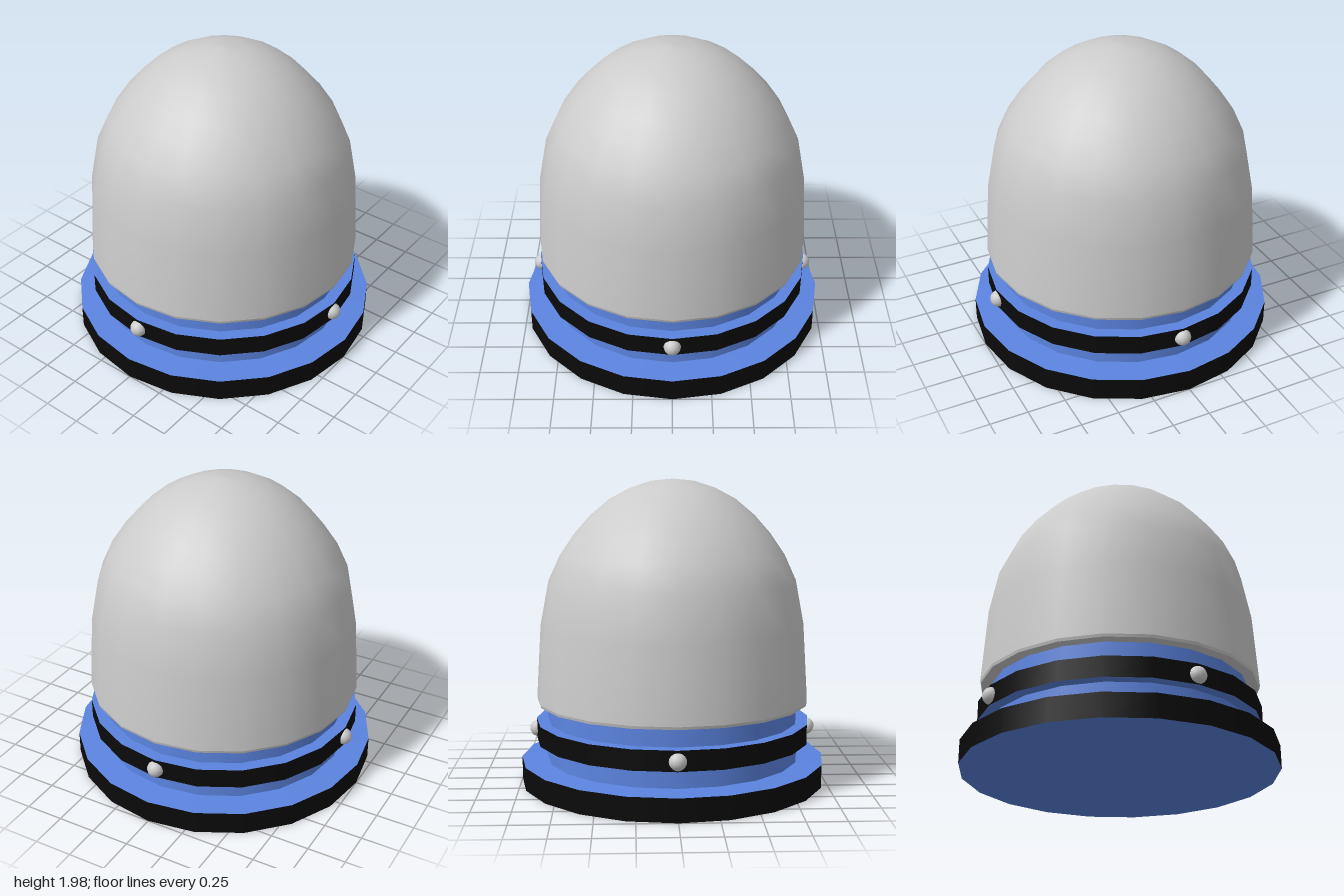
import * as THREE from 'three';

const SIDES = 20;
const grey = new THREE.MeshStandardMaterial({ color: 0xcccccc });
const blue = new THREE.MeshStandardMaterial({ color: 0x5b84e0 });
const black = new THREE.MeshStandardMaterial({ color: 0x0a0a0a });

export function createModel() {
  const model = new THREE.Group();
  model.name = 'domedBeacon';

  const add = (name, geometry, material, y = 0) => {
    const mesh = new THREE.Mesh(geometry, material);
    mesh.name = name;
    mesh.position.y = y;
    model.add(mesh);
    return mesh;
  };
  // Profile points run outward underneath and inward on top, as [radius, height]
  const lathe = (points) =>
    new THREE.LatheGeometry(points.map(([r, y]) => new THREE.Vector2(r, y)), SIDES);
  // Dark edge with blue faces above and below
  const disc = (r, h) => new THREE.CylinderGeometry(r, r, h, SIDES);

  // Base plate with a slightly raised top
  add('basePlate', disc(1, 0.15), [black, blue, blue], 0.075);
  add('baseTop', lathe([[1, 0.15], [0.82, 0.158]]), blue);

  // Neck and the band around it
  add('neck', new THREE.CylinderGeometry(0.82, 0.83, 0.39, SIDES, 1, true), blue, 0.345);
  add('band', disc(0.9, 0.13), [black, blue, blue], 0.345);

  // Dome: smooth shell, short lip and closed underside
  add('dome', lathe([
    [0.895, 0.55], [0.865, 1.03], [0.81, 1.32], [0.735, 1.485], [0.64, 1.625],
    [0.535, 1.745], [0.41, 1.85], [0.28, 1.92], [0.14, 1.967], [0, 1.98],
  ]), grey);
  add('domeLip', lathe([[0.89, 0.532], [0.895, 0.55]]), grey);
  add('domeUnderside', lathe([[0.8, 0.532], [0.89, 0.532]]), grey);

  // Four studs around the band
  const studGeometry = new THREE.SphereGeometry(0.055, 12, 10);
  for (let i = 0; i < 4; i++) {
    const a = (i * Math.PI) / 2;
    const stud = add('stud', studGeometry, grey);
    stud.position.set(Math.sin(a) * 0.89, 0.34, Math.cos(a) * 0.89);
    stud.rotation.y = a;
  }

  return model;
}
